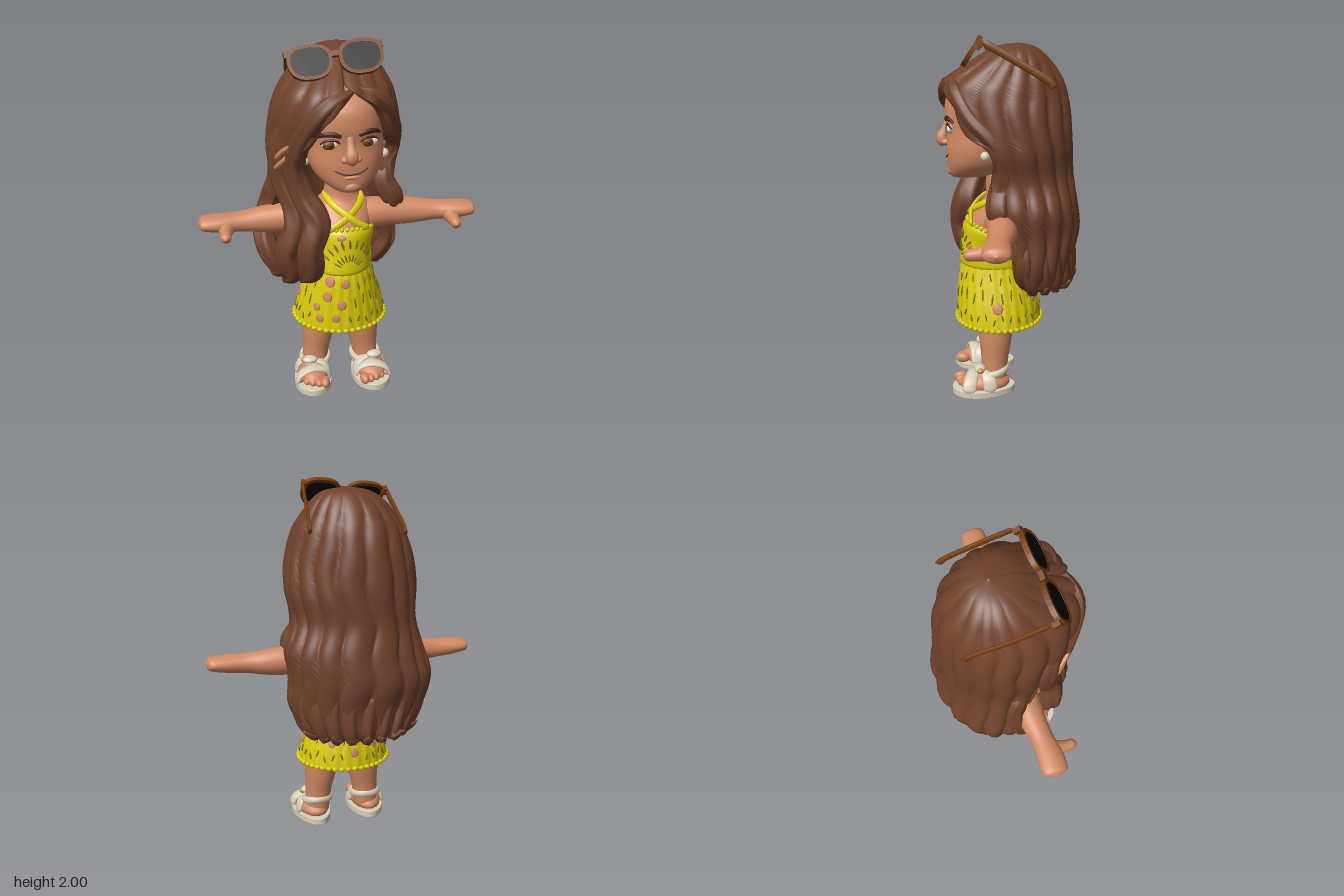
import * as THREE from 'three';

const V = (x, y, z) => new THREE.Vector3(x, y, z);
const mat = (name, color, side = THREE.FrontSide) => Object.assign(new THREE.MeshStandardMaterial({ color, side }), { name });

// Catmull-Rom blend of numeric rows; t runs from 0 to rows.length - 1
function sample(rows, t) {
  const i = Math.max(0, Math.min(Math.floor(t), rows.length - 2)), f = t - i;
  const at = (j, k) => rows[Math.max(0, Math.min(rows.length - 1, j))][k];
  return rows[i].map((_, k) => {
    const a = at(i - 1, k), b = at(i, k), c = at(i + 1, k), d = at(i + 2, k);
    return b + 0.5 * f * (c - a + f * (2 * a - 5 * b + 4 * c - d + f * (3 * (b - c) + d - a)));
  });
}
function atY(rows, y) {
  let i = 0;
  while (i < rows.length - 2 && rows[i + 1][0] > y) i++;
  const p = sample(rows, i + (rows[i][0] - y) / (rows[i][0] - rows[i + 1][0]));
  p[0] = y;
  return p;
}
// Skin of closed rings, listed from top to bottom
function skinRings(rings) {
  const n = rings[0].length, index = [];
  for (let i = 0; i < rings.length - 1; i++) for (let j = 0; j < n; j++) {
    const a = i * n + j, d = i * n + (j + 1) % n;
    index.push(a, a + n, d + n, a, d + n, d);
  }
  const g = new THREE.BufferGeometry().setFromPoints(rings.flat());
  g.setIndex(index);
  g.computeVertexNormals();
  return g;
}
// Body sections: [y, halfWidth, zFront, zBack, centreX]
function section([y, rx, zF, zB, cx], a, e = 1, pleat = 0) {
  const pw = v => Math.sign(v) * Math.abs(v) ** e, k = 1 + pleat * Math.sin(26 * a);
  return V(cx + rx * k * pw(Math.sin(a)), y, (zF + zB) / 2 + (zF - zB) / 2 * k * pw(Math.cos(a)));
}
function loft(rows, { e = 1, seg = 48, pleat = 0, move = p => p } = {}) {
  const steps = 5, n = (rows.length - 1) * steps;
  return skinRings(Array.from({ length: n + 1 }, (_, i) => {
    const p = sample(rows, i / steps);
    return Array.from({ length: seg }, (_, j) => move(section(p, j / seg * Math.PI * 2, e, pleat)));
  }));
}
// Tapered sweep with rounded ends; radii are numbers or [across, along ref]
function sweep(pts, radii, { ref = V(0, 0, 1), seg = 12, steps = 7, ridge = 0, round = 0.08 } = {}) {
  const curve = new THREE.CatmullRomCurve3(pts.map(p => V(...p)));
  const rr = radii.map(r => (Array.isArray(r) ? r : [r, r])), n = (pts.length - 1) * steps, rings = [];
  for (let i = 0; i <= n; i++) {
    const t = i / n, T = curve.getTangent(t), c = curve.getPoint(t);
    const N = ref.clone().cross(T).normalize(), B = N.clone().cross(T);
    const k = Math.sin(Math.min(1, Math.min(t, 1 - t) / round) * Math.PI / 2);
    const [a, b] = sample(rr, t * (rr.length - 1));
    rings.push(Array.from({ length: seg }, (_, j) => {
      const w = j / seg * Math.PI * 2, q = k * (1 - ridge * (1 - Math.abs(Math.sin(3 * w))));
      return c.clone().addScaledVector(N, a * q * Math.cos(w)).addScaledVector(B, b * q * Math.sin(w));
    }));
  }
  return skinRings(rings);
}
const ball = new THREE.SphereGeometry(1, 18, 12), bead = new THREE.SphereGeometry(1, 8, 4);

// Hair sections: [y, xMin, xMax, zBack, zFront, gapRight, gapLeft, innerFactor]
const hairRows = [
  [1.955, -0.01, 0.01, -0.06, -0.04, 0, 0, 0.5], [1.935, -0.12, 0.13, -0.14, 0.08, 0, 0, 0.6],
  [1.88, -0.21, 0.2, -0.21, 0.18, 0, 0, 0.62], [1.8, -0.28, 0.25, -0.275, 0.31, 0, 0, 0.65],
  [1.745, -0.32, 0.28, -0.305, 0.375, 0, 0.3, 0.7], [1.68, -0.35, 0.3, -0.325, 0.395, 0.1, 0.6, 0.75],
  [1.6, -0.375, 0.32, -0.34, 0.39, 0.3, 0.75, 0.72], [1.5, -0.39, 0.335, -0.35, 0.37, 0.48, 0.92, 0.66],
  [1.4, -0.395, 0.34, -0.355, 0.35, 0.75, 1.27, 0.6], [1.25, -0.385, 0.31, -0.36, 0.3, 1.0, 1.16, 0.6],
  [1.1, -0.42, 0.365, -0.385, 0.25, 1.15, 1.08, 0.6], [0.95, -0.465, 0.35, -0.405, 0.23, 1.3, 1.38, 0.62],
  [0.8, -0.44, 0.355, -0.375, 0.2, 1.2, 1.35, 0.65], [0.7, -0.37, 0.31, -0.365, 0.15, 1.2, 1.35, 0.68],
  [0.65, -0.32, 0.26, -0.35, 0.12, 1.25, 1.4, 0.72], [0.63, -0.29, 0.24, -0.33, 0.1, 1.3, 1.45, 0.96]];
function hairPoint([y, x0, x1, zB, zF, , , f], a, inner, t) {
  const w = a + 0.05 * Math.sin(y * 9) + 0.02 * Math.sin(y * 21 + 3 * a);
  const k = inner ? f : 1 - 0.075 * Math.min(1, t / 3) * (1 - Math.abs(Math.sin(8 * w + 0.5 * Math.sin(3 * a))) ** 0.7);
  return V((x0 + x1) / 2 + (x1 - x0) / 2 * k * Math.sin(a), y, (zB + zF) / 2 + (zF - zB) / 2 * k * Math.cos(a));
}
function hairShell() {
  const rings = [], N = 176, M = 14, steps = 5;
  for (let i = 0; i <= (hairRows.length - 1) * steps; i++) {
    const t = i / steps, p = sample(hairRows, t), a0 = Math.max(0, p[6]), a1 = Math.PI * 2 - Math.max(0, p[5]), ring = [];
    for (let j = 0; j <= N; j++) ring.push(hairPoint(p, a0 + (a1 - a0) * j / N, false, t));
    for (let j = M; j >= 0; j--) ring.push(hairPoint(p, a0 + (a1 - a0) * j / M, true, t));
    rings.push(ring);
  }
  return skinRings(rings);
}

export function createModel() {
  const root = new THREE.Group();
  const skin = mat('skin', 0xd08863), hair = mat('hair brown', 0x70412b, THREE.DoubleSide);
  const yellow = mat('dress yellow', 0xdaca08, THREE.DoubleSide), olive = mat('lace shadow', 0x77700f);
  const cream = mat('cream', 0xd8cfb8), tortoise = mat('tortoiseshell', 0x783e10), black = mat('lens black', 0x060607);
  const dark = mat('brow brown', 0x46261a), white = mat('eye white', 0xf0ebe2), gold = mat('gold', 0xc49a4c);
  const add = (parent, name, geo, m, pos = [0, 0, 0], scale = [1, 1, 1]) => {
    const o = new THREE.Mesh(geo, m);
    o.name = name; o.position.set(...pos); o.scale.set(...scale);
    parent.add(o);
    return o;
  };

  // Torso and neck
  add(root, 'torso', loft([[1.34, 0.085, 0.13, -0.06, 0.015], [1.2, 0.09, 0.13, -0.06, 0.015], [1.13, 0.11, 0.135, -0.065, 0.015],
    [1.08, 0.16, 0.165, -0.075, 0.01], [1.0, 0.162, 0.225, -0.08, 0.01], [0.9, 0.15, 0.245, -0.08, 0.01], [0.75, 0.15, 0.24, -0.08, 0],
    [0.6, 0.185, 0.23, -0.09, 0], [0.48, 0.19, 0.19, -0.05, 0], [0.42, 0.12, 0.14, 0.02, 0], [0.405, 0.005, 0.085, 0.075, 0]]), skin);

  // Arms, legs and sandals, mirrored
  for (const s of [1, -1]) {
    const side = s > 0 ? 'left' : 'right';
    add(root, side + 'Arm', sweep([[s * 0.06, 1.0, 0.06], [s * 0.22, 1.015, 0.045], [s * 0.4, 1.01, 0.045], [s * 0.55, 1.01, 0.06],
      [s * 0.65, 1.012, 0.07], [s * 0.73, 1.016, 0.072], [s * 0.778, 1.018, 0.072]],
    [0.09, 0.086, 0.077, [0.056, 0.064], [0.051, 0.072], [0.042, 0.072], [0.034, 0.06]], { seg: 24 }), skin);
    add(root, side + 'Thumb', sweep([[s * 0.62, 1.0, 0.08], [s * 0.63, 0.985, 0.16], [s * 0.63, 0.978, 0.238]], [0.05, 0.035, 0.028], { ref: V(0, 1, 0), round: 0.15 }), skin);
    add(root, side + 'Leg', sweep([[s * 0.11, 0.56, 0.08], [s * 0.12, 0.4, 0.08], [s * 0.132, 0.3, 0.083], [s * 0.143, 0.2, 0.086],
      [s * 0.15, 0.11, 0.09], [s * 0.155, 0.03, 0.095]], [0.108, 0.1, 0.092, 0.078, 0.073, 0.073], { seg: 24 }), skin);

    const foot = new THREE.Group();
    foot.name = side + 'Foot';
    foot.position.set(s * 0.17, 0, 0.15);
    foot.rotation.y = s * 0.08;
    root.add(foot);
    const outline = new THREE.Shape(Array.from({ length: 40 }, (_, i) => {
      const a = i / 40 * Math.PI * 2;
      return new THREE.Vector2(Math.sin(a) * (0.104 + 0.016 * Math.cos(a)), Math.cos(a) * 0.175);
    }));
    const sole = new THREE.ExtrudeGeometry(outline, { depth: 0.032, bevelThickness: 0.005, bevelSize: 0.005, bevelSegments: 2 });
    add(foot, 'sole', sole.rotateX(Math.PI / 2).translate(0, 0.037, 0), cream);
    add(foot, 'foot', ball, skin, [0, 0.06, -0.005], [0.09, 0.06, 0.145]);
    [0.03, 0.025, 0.023, 0.021, 0.019].forEach((r, i) =>
      add(foot, 'toe', ball, skin, [s * (-0.064 + i * 0.035), 0.042 + r * 0.7, 0.128 - i * i * 0.003], [r * 0.9, r, r * 1.4]));
    const band = [[0.014, 0.04], [0.014, 0.036], [0.014, 0.04]];
    for (const [d, z, h] of [[1, 0.06, 0.115], [-1, -0.005, 0.135]])
      add(foot, 'strap', sweep([[-0.102, 0.03, z - s * d * 0.03], [-0.074, h - 0.025, z - s * d * 0.02], [0, h, z],
        [0.074, h - 0.025, z + s * d * 0.02], [0.102, 0.03, z + s * d * 0.03]], band), cream);
    add(foot, 'ankleStrap', new THREE.TorusGeometry(0.079, 0.016, 8, 32).rotateX(Math.PI / 2 + 0.15), cream, [-s * 0.015, 0.125, -0.055], [1, 1.4, 1]);
    add(foot, 'bow', ball, cream, [s * 0.02, 0.15, 0.022], [0.046, 0.022, 0.032]);
    add(foot, 'buckle', ball, gold, [s * 0.05, 0.148, 0.022], [0.022, 0.018, 0.02]);
  }

  // Dress, cut lower towards the back
  const bodice = [[1.0, 0.163, 0.235, -0.09, 0.015], [0.96, 0.17, 0.26, -0.09, 0.015], [0.87, 0.162, 0.272, -0.1, 0.01],
    [0.79, 0.172, 0.282, -0.105, 0.005], [0.75, 0.178, 0.283, -0.11, 0], [0.735, 0.172, 0.272, -0.108, 0]];
  const skirt = [[0.76, 0.168, 0.266, -0.1, 0], [0.7, 0.184, 0.282, -0.12, 0], [0.6, 0.215, 0.293, -0.15, 0],
    [0.5, 0.244, 0.3, -0.17, 0], [0.405, 0.262, 0.303, -0.18, 0]];
  const lower = p => p.setY(p.y - Math.max(0, p.y - 0.75) * 0.4 * Math.min(1, Math.max(0, (0.24 - p.z) / 0.33)));
  add(root, 'bodice', loft(bodice, { move: lower }), yellow);
  add(root, 'skirt', loft(skirt, { seg: 156, pleat: 0.012 }), yellow);
  for (let i = 0; i < 44; i++)
    add(root, 'hemScallop', bead, yellow, section(atY(skirt, 0.406), i / 44 * Math.PI * 2).toArray(), [0.018, 0.014, 0.016]);
  for (let i = 0; i < 36; i++)
    add(root, 'necklineBead', bead, yellow, lower(section(atY(bodice, 0.995), i / 36 * Math.PI * 2)).toArray(), [0.014, 0.014, 0.014]);
  const strapR = [[0.02, 0.012], [0.02, 0.012], [0.02, 0.012]];
  add(root, 'halterStrap', sweep([[-0.1, 0.985, 0.225], [-0.03, 1.02, 0.225], [0.03, 1.055, 0.2], [0.11, 1.115, 0.115], [0.1, 1.16, 0.0]], strapR), yellow);
  add(root, 'halterStrap', sweep([[0.14, 0.985, 0.21], [0.085, 1.015, 0.215], [0.03, 1.055, 0.208], [-0.05, 1.11, 0.145], [-0.09, 1.15, 0.03]], strapR), yellow);

  // Lace openings laid on the dress
  const lace = (rows, name, m, a, y, w, h, turn = 0) => {
    const p = section(atY(rows, y), a), u = section(atY(rows, y), a + 0.02).sub(section(atY(rows, y), a - 0.02));
    const v = section(atY(rows, y + 0.01), a).sub(section(atY(rows, y - 0.01), a)), n = u.cross(v).normalize();
    const o = add(root, name, bead, m, p.clone().addScaledVector(n, 0.002).toArray(), [w, h, 0.0048]);
    o.lookAt(p.add(n));
    o.rotateZ(turn);
  };
  const holes = [[-0.46, 0.7, 0.032], [0, 0.69, 0.028], [-0.48, 0.61, 0.031], [-0.1, 0.565, 0.03], [-0.72, 0.54, 0.025],
    [-0.6, 0.475, 0.026], [-0.22, 0.485, 0.026], [1.57, 0.53, 0.034], [Math.PI, 0.5, 0.028], [2.6, 0.55, 0.024], [3.7, 0.53, 0.024], [-1.6, 0.55, 0.028]];
  for (const [a, y, r] of holes) lace(skirt, 'laceHole', skin, a, y, r * 0.9, r);
  for (const [y, count, w, h, tilt] of [[0.68, 24, 0.004, 0.026, 0.15], [0.585, 26, 0.005, 0.036, 0.1], [0.47, 32, 0.005, 0.022, -0.3]])
    for (let i = 0; i < count; i++) {
      const a = (i + 0.5) / count * Math.PI * 2 - Math.PI / 2;
      const near = holes.some(q => Math.hypot(Math.sin((a - q[0]) / 2) * 0.46, y - q[1]) < q[2] + 0.024 && Math.cos(a - q[0]) > 0);
      if (!near) lace(skirt, 'laceSlit', olive, a, y + 0.015 * Math.sin(i * 2.4), w, h, tilt * (i % 2 ? 1 : -1));
    }
  for (const [d, h] of [[0.07, 0.024], [0.145, 0.028]])
    for (let i = -4; i <= 4; i++)
      lace(bodice, 'fanSlit', olive, 0.08 + d * Math.sin(i * 0.28) / 0.17, 0.775 + d * Math.cos(i * 0.28), d * 0.03 + 0.003, h, -i * 0.28);
  for (let i = 0; i < 18; i++) lace(bodice, 'laceSlit', olive, 1.15 + i / 17 * 4, 0.81, 0.005, 0.024, i % 2 ? 0.5 : -0.5);
  lace(bodice, 'laceHole', skin, -0.2, 0.955, 0.026, 0.016);
  lace(bodice, 'laceHole', skin, 0.75, 0.86, 0.02, 0.022);

  // Head and face, tipped a little to one side
  const head = new THREE.Group(), face = new THREE.Group();
  head.name = 'head'; face.name = 'face';
  head.position.set(0.015, 1.45, 0);
  head.rotation.z = 0.05;
  face.position.y = -1.45;
  head.add(face); root.add(head);
  add(face, 'skull', loft([[1.82, 0.01, 0.08, 0.06, 0], [1.79, 0.12, 0.2, -0.1, 0], [1.7, 0.185, 0.325, -0.18, 0], [1.6, 0.207, 0.352, -0.2, 0],
    [1.5, 0.21, 0.34, -0.17, 0], [1.4, 0.204, 0.345, -0.12, 0], [1.32, 0.172, 0.34, -0.04, 0], [1.265, 0.115, 0.332, 0.06, 0],
    [1.24, 0.065, 0.315, 0.14, 0], [1.232, 0.005, 0.27, 0.26, 0]], { e: 0.9 }), skin);
  add(face, 'nose', sweep([[0, 1.56, 0.325], [0, 1.5, 0.347], [0, 1.445, 0.367], [0, 1.412, 0.345]], [0.02, 0.023, 0.034, 0.026], { round: 0.12 }), skin);
  add(face, 'chin', ball, skin, [0, 1.275, 0.305], [0.05, 0.035, 0.04]);
  add(face, 'lowerLip', ball, skin, [0, 1.33, 0.334], [0.045, 0.012, 0.014]);
  add(face, 'smile', sweep([[-0.092, 1.376, 0.322], [-0.05, 1.354, 0.339], [0, 1.347, 0.344], [0.05, 1.354, 0.339], [0.092, 1.376, 0.322]],
    [0.004, 0.004, 0.004, 0.004, 0.004]), dark);
  for (const s of [1, -1]) {
    add(face, 'nostril', ball, skin, [s * 0.033, 1.43, 0.345], [0.022, 0.018, 0.024]);
    add(face, 'ear', ball, skin, [s * 0.207, 1.44, 0.1], [0.025, 0.05, 0.035]);
    add(face, 'earring', ball, cream, [s * 0.212, 1.375, 0.13], [0.025, 0.026, 0.025]);
    add(face, 'eyeWhite', ball, white, [s * 0.098, 1.508, 0.317], [0.046, 0.025, 0.02]);
    add(face, 'iris', ball, tortoise, [s * 0.098 - 0.007, 1.508, 0.321], [0.036, 0.025, 0.02]);
    add(face, 'pupil', ball, dark, [s * 0.098 - 0.004, 1.508, 0.332], [0.012, 0.013, 0.011]);
    add(face, 'lashes', sweep([[s * 0.048, 1.512, 0.333], [s * 0.075, 1.531, 0.336], [s * 0.12, 1.531, 0.325], [s * 0.15, 1.51, 0.305]], [0.005, 0.006, 0.006, 0.005]), dark);
    add(face, 'eyebrow', sweep([[s * 0.04, 1.55, 0.34], [s * 0.09, 1.565, 0.338], [s * 0.135, 1.562, 0.32], [s * 0.165, 1.543, 0.292]],
      [[0.011, 0.008], [0.014, 0.009], [0.012, 0.009], [0.005, 0.006]]), dark);
  }

  // Hair: grooved shell, hanging locks and curled ends
  add(root, 'hairShell', hairShell(), hair);
  const lock = (pts, radii) => add(root, 'hairLock', sweep(pts, radii, { seg: 24, steps: 6, ridge: 0.16 }), hair);
  lock([[0.06, 1.79, 0.31], [-0.11, 1.69, 0.35], [-0.225, 1.52, 0.27], [-0.26, 1.36, 0.2], [-0.22, 1.2, 0.2], [-0.15, 1.06, 0.25], [-0.19, 0.92, 0.27],
    [-0.185, 0.77, 0.23], [-0.24, 0.67, 0.19]], [0.02, [0.055, 0.045], 0.058, 0.065, 0.07, 0.078, 0.076, 0.075, 0.03]);
  lock([[-0.26, 1.66, 0.2], [-0.32, 1.45, 0.14], [-0.32, 1.28, 0.13], [-0.26, 1.12, 0.17], [-0.26, 1.0, 0.21], [-0.31, 0.87, 0.2], [-0.28, 0.74, 0.17], [-0.33, 0.65, 0.13]],
    [0.04, 0.07, 0.065, 0.07, 0.07, 0.075, 0.07, 0.03]);
  lock([[-0.34, 1.25, 0.02], [-0.38, 1.08, -0.05], [-0.42, 0.94, -0.02], [-0.4, 0.82, 0.04], [-0.34, 0.71, 0.05], [-0.39, 0.66, 0.02]], [0.05, 0.06, 0.065, 0.065, 0.06, 0.025]);
  lock([[0.05, 1.79, 0.31], [0.18, 1.715, 0.285], [0.255, 1.58, 0.2], [0.29, 1.44, 0.06], [0.265, 1.3, 0.03], [0.25, 1.2, 0.05], [0.3, 1.1, 0.06], [0.27, 1.0, 0.0]],
    [0.02, [0.042, 0.038], 0.042, 0.048, 0.055, 0.065, 0.066, 0.04]);
  lock([[0.27, 1.1, -0.06], [0.27, 0.94, -0.06], [0.3, 0.82, -0.07], [0.25, 0.71, -0.08], [0.19, 0.64, -0.1]], [0.06, 0.06, 0.06, 0.055, 0.025]);
  for (let i = 0; i < 11; i++) {
    const a = 1.6 + i * 0.3, tip = i % 2 ? 1.13 : 1.04;
    const q = (y, k) => {
      const p = atY(hairRows, y), c = V((p[1] + p[2]) / 2, y, (p[3] + p[4]) / 2);
      return hairPoint(p, a, false, 0).sub(c).multiplyScalar(k).add(c).toArray();
    };
    lock([q(0.92, 0.78), q(0.8, 0.83), q(0.7, 0.88), q(0.645, 0.98), q(0.675, tip)], [0.05, 0.058, 0.052, 0.038, 0.015]);
  }
  // Light wisps beside the face
  for (const d of [0, 0.05])
    add(root, 'lightWisp', sweep([[-0.25 - d * 0.4, 1.52 - d, 0.31 - d], [-0.31, 1.46 - d, 0.235], [-0.355, 1.39 - d, 0.16], [-0.38, 1.33 - d, 0.08]], [0.006, 0.013, 0.013, 0.006]), skin);

  // Sunglasses pushed up on the hair
  const glasses = new THREE.Group();
  glasses.name = 'sunglasses';
  glasses.position.set(-0.042, 1.904, 0.205);
  glasses.rotation.set(-0.57, 0, 0.1);
  root.add(glasses);
  const rim = (w, h) => Array.from({ length: 40 }, (_, i) => {
    const a = i / 40 * Math.PI * 2, pw = v => Math.sign(v) * Math.abs(v) ** 0.78;
    return new THREE.Vector2(w * pw(Math.cos(a)) * (1 + 0.08 * Math.sin(a)), h * pw(Math.sin(a)));
  });
  const slab = (shape, depth) => new THREE.ExtrudeGeometry(shape, { depth, bevelEnabled: false });
  for (const s of [1, -1]) {
    const ring = new THREE.Shape(rim(0.112, 0.09));
    ring.holes.push(new THREE.Path(rim(0.095, 0.073)));
    add(glasses, 'frame', slab(ring, 0.026), tortoise, [s * 0.13, 0, -0.013]);
    add(glasses, 'lens', slab(new THREE.Shape(rim(0.097, 0.075)), 0.008), black, [s * 0.13, 0, 0.003]);
    add(glasses, 'hinge', new THREE.BoxGeometry(0.025, 0.035, 0.04), tortoise, [s * 0.238, 0.055, -0.015]);
  }
  add(glasses, 'bridge', new THREE.BoxGeometry(0.06, 0.028, 0.026), tortoise, [0, 0.03, 0]);
  const templeR = [[0.009, 0.02], [0.009, 0.02], [0.01, 0.022]], up = { ref: V(0, 1, 0), round: 0.04 };
  add(root, 'temple', sweep([[0.2, 1.97, 0.145], [0.228, 1.87, -0.035], [0.252, 1.77, -0.2], [0.254, 1.74, -0.225]], templeR, up), tortoise);
  add(root, 'temple', sweep([[-0.283, 1.92, 0.145], [-0.27, 1.83, -0.04], [-0.25, 1.75, -0.225], [-0.248, 1.72, -0.25]], templeR, up), tortoise);
  return root;
}
